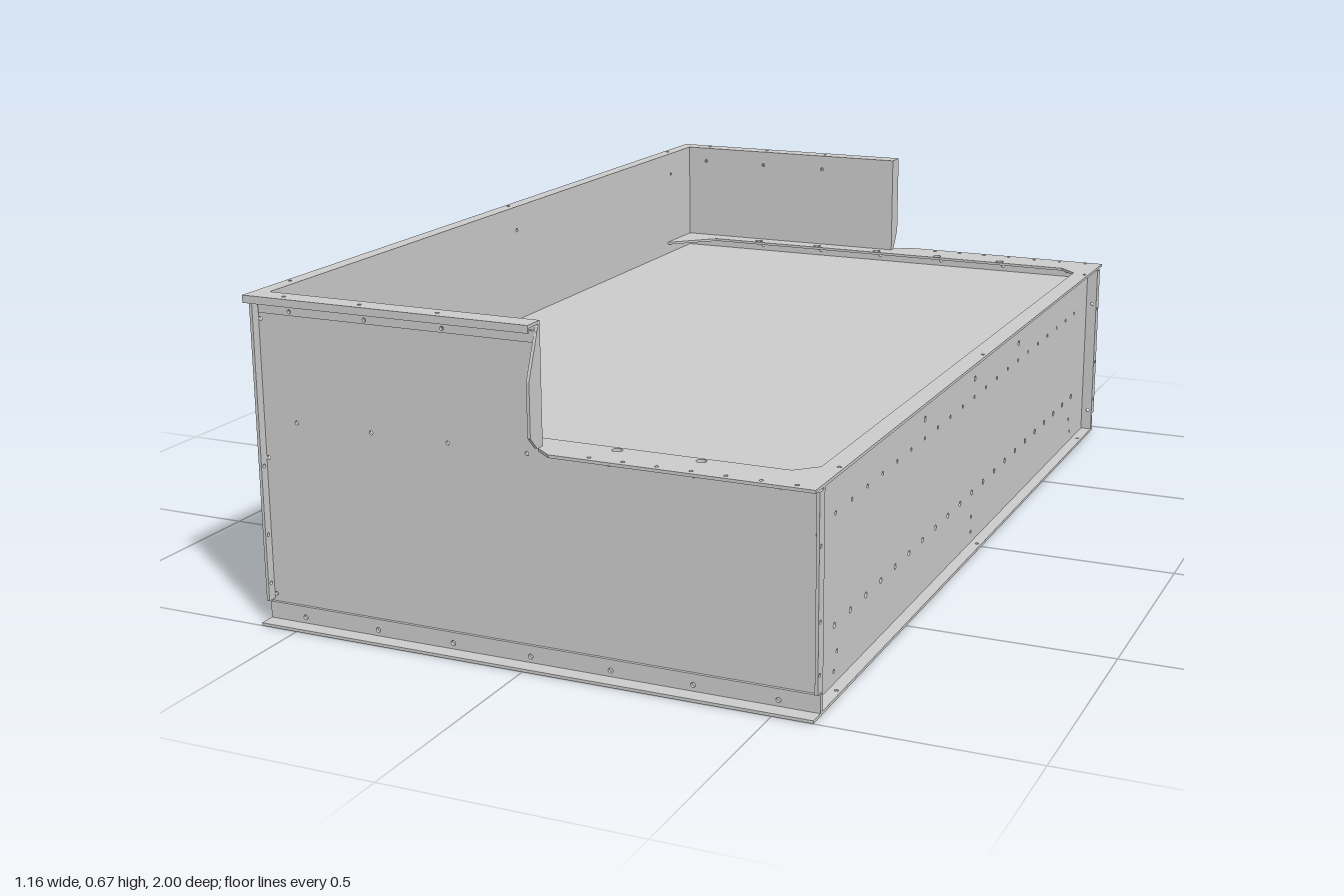
import * as THREE from 'three';

const T = 0.006; // sheet thickness
const W = 0.58, HI = 0.665, LO = 0.43; // half width, tall and low rim heights
const STEP = 0.03; // x of the step between tall and low rim
const WX = 0.552, EZ = 0.958; // wall positions

export function createModel() {
  const model = new THREE.Group();
  const material = new THREE.MeshStandardMaterial({ color: 0xcccccc, side: THREE.DoubleSide });

  // Flat sheet cut from an outline with round holes [u, v, radius].
  // plane 'xy': from z = at forwards; 'zy': centred on x = at; 'xz': top face at y = at
  function sheet(name, plane, at, outline, holes = [], t = T) {
    const shape = new THREE.Shape(outline.map(([u, v]) => new THREE.Vector2(u, v)));
    for (const [u, v, r = 0.004] of holes) {
      const path = new THREE.Path();
      path.absarc(u, v, r, 0, Math.PI * 2, true);
      shape.holes.push(path);
    }
    const geo = new THREE.ExtrudeGeometry(shape, { depth: t, bevelEnabled: false, curveSegments: 8 });
    if (plane === 'xy') geo.translate(0, 0, at - t / 2);
    if (plane === 'zy') geo.rotateY(-Math.PI / 2).translate(at + t / 2, 0, 0);
    if (plane === 'xz') geo.rotateX(Math.PI / 2).translate(0, at, 0);
    const mesh = new THREE.Mesh(geo, material);
    mesh.name = name;
    model.add(mesh);
  }
  const rect = (u0, v0, u1, v1) => [[u0, v0], [u1, v0], [u1, v1], [u0, v1]];
  const row = (n, from, to, f) => Array.from({ length: n }, (_, i) => f(from + (to - from) * i / (n - 1)));

  // Long side walls with outward flanges at top and bottom
  for (const s of [-1, 1]) {
    const h = s < 0 ? HI : LO;
    const side = s < 0 ? 'right' : 'left';
    const holes = [
      ...row(21, -0.835, 0.835, z => [z, 0.12, 0.006]),
      ...row(21, -0.835, 0.835, z => [z, 0.335]),
      ...row(3, -0.335, 0.335, z => [z, 0.375, 0.006]),
      ...row(3, -0.835, 0.835, z => [z, 0.03]),
      ...row(3, -0.82, 0.82, z => [z, 0.065]),
    ];
    if (s < 0) holes.push(...row(3, -0.835, 0.835, z => [z, 0.61]));
    sheet(side + 'Wall', 'zy', s * WX, rect(-EZ, 0, EZ, h), holes);
    for (const y of [T, h]) {
      sheet(side + 'WallFlange', 'xz', y, rect(s * WX, -EZ, s * W, EZ),
        row(3, -0.86, 0.86, z => [s * 0.57, z]));
    }
  }

  // End walls, front and back, stepped from tall to low
  for (const s of [1, -1]) {
    const end = s > 0 ? 'front' : 'back';
    const out = s > 0 ? 1 : 0.972;
    sheet(end + 'Wall', 'xy', s * EZ,
      [[-W, 0], [W, 0], [W, LO], [STEP, LO], [STEP, HI], [-W, HI]], [
        ...row(7, -0.5, 0.5, x => [x, 0.413]),
        ...row(3, -0.5, -0.167, x => [x, 0.63]),
        [-0.57, 0.335], [0.57, 0.335], [-0.57, 0.612], [-0.57, 0.055], [0.57, 0.055],
      ]);

    // Tall rim: top flange, folded lip and stiffening strip
    sheet(end + 'TallFlange', 'xz', HI, rect(-W, s * EZ, STEP, s),
      row(3, -0.5, -0.167, x => [x, s * 0.98]));
    sheet(end + 'TallLip', 'xy', s * (1 - T / 2), rect(-W, HI - 0.015, STEP, HI));
    sheet(end + 'TallStrip', 'xy', s * (EZ + T), rect(-0.57, 0.625, STEP, 0.647),
      row(3, -0.5, -0.167, x => [x, 0.633]));

    // Upright flange closing the step
    const upright = s > 0
      ? [[EZ, LO], [0.975, LO], [1, 0.455], [1, 0.56], [EZ, HI]]
      : [[-EZ, LO], [-0.972, LO], [-1, 0.475], [-1, HI], [-EZ, HI]];
    sheet(end + 'StepFlange', 'zy', STEP - T / 2, upright);

    // Low rim flange
    sheet(end + 'LowFlange', 'xz', LO,
      [[STEP, s * EZ], [W, s * EZ], [W, s], [0.065, s], [STEP, s * 0.972]],
      row(7, 0.14, 0.54, x => [x, s * 0.985]));

    // Bottom angle
    sheet(end + 'BottomAngleLeg', 'xy', s * (EZ + T), rect(-W, 0, W, 0.04),
      row(7, -0.5, 0.5, x => [x, 0.018, 0.005]));
    sheet(end + 'BottomAngleFoot', 'xz', T, rect(-W, s * EZ, W, s * out));

    // Narrow tabs on the corner edges
    for (const m of [-1, 1]) {
      sheet(end + 'CornerTab', 'zy', m * (W - T / 2),
        rect(s * EZ, 0.045, s * 0.98, m < 0 ? HI - 0.02 : LO - 0.01),
        [[s * 0.971, 0.08], [s * 0.971, 0.18], [s * 0.971, 0.32]]);
    }
  }

  // Rim frame around the deck, with cut corners
  for (const s of [1, -1]) {
    sheet(s > 0 ? 'frontFrame' : 'backFrame', 'xz', LO, [
      [-WX, s * EZ], [WX, s * EZ], [WX, s * 0.87], [0.54, s * 0.87],
      [0.5, s * 0.91], [-0.45, s * 0.91], [-WX, s * 0.81],
    ], row(5, -0.333, 0.333, x => [x, s * 0.925, 0.01]));
  }
  sheet('leftFrame', 'xz', LO, rect(0.54, -0.87, WX, 0.87));

  // Recessed deck
  sheet('deck', 'xz', 0.4, rect(-WX, -EZ, WX, EZ), [], 0.012);

  return model;
}
